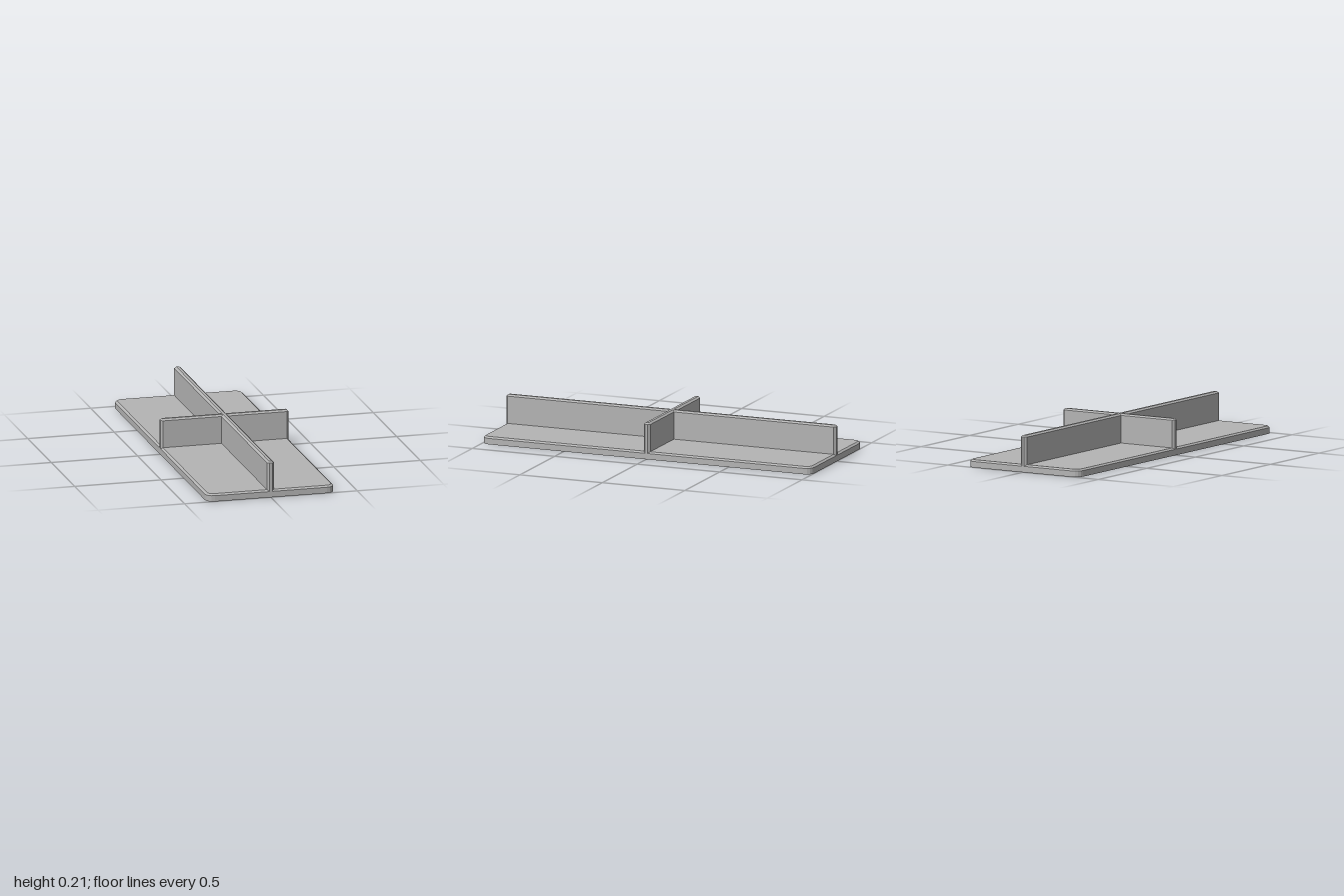
import * as THREE from 'three';

const HX = 0.37, HZ = 1, BEVEL = 0.012;
const BASE_EDGE = 0.034, BASE_TOP = 0.043, WALL_EDGE = 0.199, WALL_TOP = 0.208;

// Closed convex solid through horizontal rings { y, points: [x, z][] }
function loft(rings) {
  const pos = [];
  const n = rings[0].points.length;
  const at = (k, i) => {
    const [x, z] = rings[k].points[i % n];
    return [x, rings[k].y, z];
  };
  const last = rings.length - 1;
  for (let k = 0; k < last; k++) {
    for (let i = 0; i < n; i++) {
      pos.push(...at(k, i), ...at(k + 1, i), ...at(k + 1, i + 1));
      pos.push(...at(k, i), ...at(k + 1, i + 1), ...at(k, i + 1));
    }
  }
  for (let i = 1; i < n - 1; i++) {
    pos.push(...at(0, 0), ...at(0, i), ...at(0, i + 1));
    pos.push(...at(last, 0), ...at(last, i + 1), ...at(last, i));
  }
  const geometry = new THREE.BufferGeometry();
  geometry.setAttribute('position', new THREE.Float32BufferAttribute(pos, 3));
  geometry.computeVertexNormals();
  return geometry;
}

// Rectangle outline with corners of radius r, in `steps` facets each
function roundedRect(hx, hz, r, steps) {
  const points = [];
  [[1, 1], [-1, 1], [-1, -1], [1, -1]].forEach(([sx, sz], c) => {
    for (let i = 0; i <= steps; i++) {
      const a = (c + i / steps) * Math.PI / 2;
      points.push([sx * (hx - r) + r * Math.cos(a), sz * (hz - r) + r * Math.sin(a)]);
    }
  });
  return points;
}

export function createModel() {
  const model = new THREE.Group();
  model.name = 'dividedTray';
  const grey = new THREE.MeshStandardMaterial({ color: 0xb4b4b4 });
  grey.name = 'grey';

  const add = (name, geometry) => {
    const mesh = new THREE.Mesh(geometry, grey);
    mesh.name = name;
    model.add(mesh);
  };

  // Base plate with rounded corners and a bevelled top edge
  const outline = roundedRect(HX, HZ, 0.045, 4);
  add('basePlate', loft([
    { y: 0, points: outline },
    { y: BASE_EDGE, points: outline },
    { y: BASE_TOP, points: roundedRect(HX - BEVEL, HZ - BEVEL, 0.045 - BEVEL, 4) },
  ]));

  // Crossing divider walls with bevelled ends and top edges
  const addWall = (name, hx, hz) => {
    const plan = roundedRect(hx, hz, BEVEL, 1);
    add(name, loft([
      { y: BASE_EDGE, points: plan },
      { y: WALL_EDGE, points: plan },
      { y: WALL_TOP, points: roundedRect(hx - BEVEL, hz - BEVEL, 0, 1) },
    ]));
  };
  addWall('longDivider', 0.02, HZ);
  addWall('crossDivider', HX, 0.02);

  return model;
}
